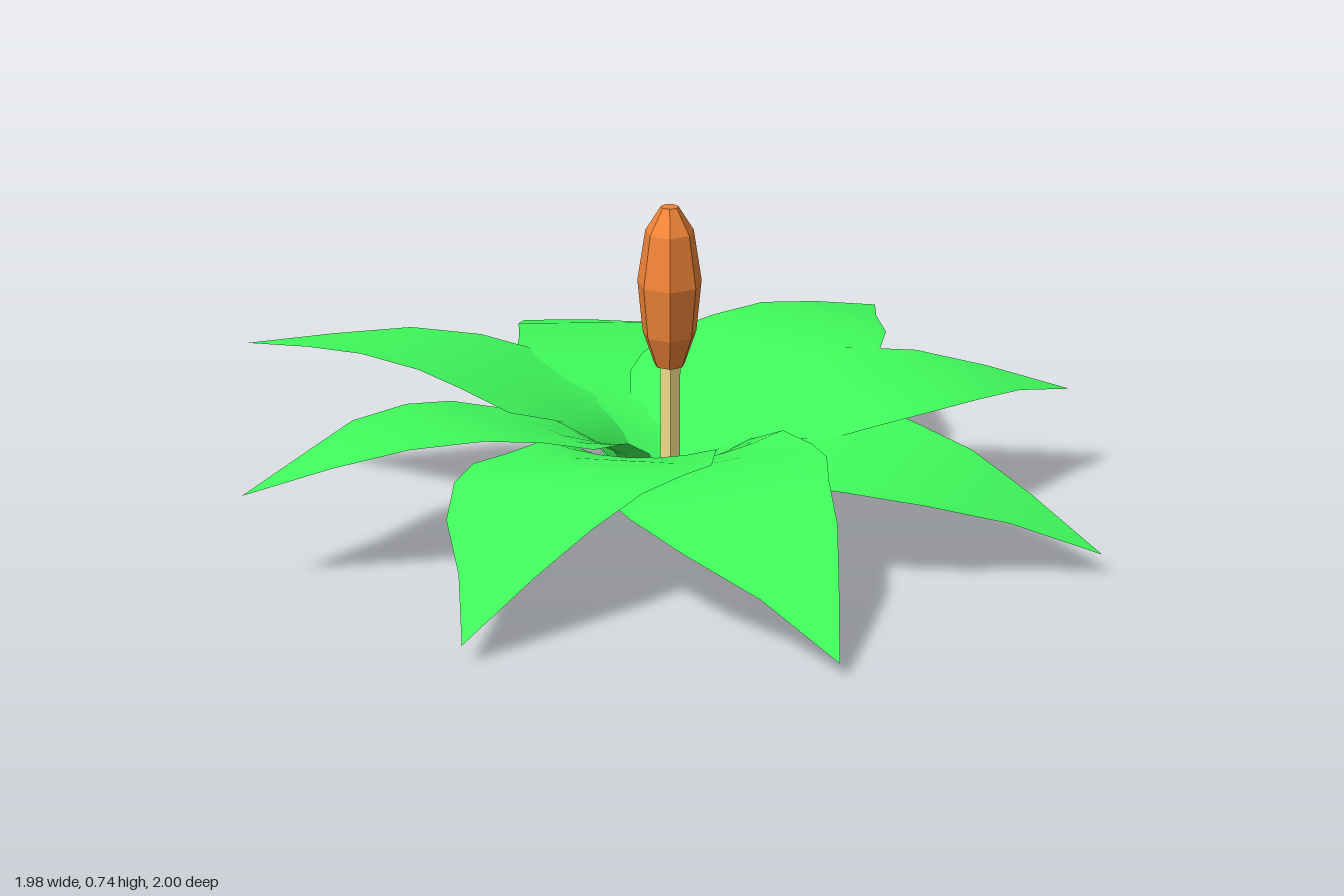
import * as THREE from 'three';

// Leaf stations: distance from centre, counter-clockwise half width, clockwise half width, height
const STATIONS = [
  [0.02, 0.03, 0.03, 0.0],
  [0.05, 0.1, 0.09, 0.08],
  [0.12, 0.165, 0.16, 0.165],
  [0.2, 0.215, 0.215, 0.205],
  [0.3, 0.245, 0.265, 0.23],
  [0.42, 0.23, 0.285, 0.24],
  [0.54, 0.185, 0.272, 0.23],
  [0.7, 0.138, 0.21, 0.193],
  [0.86, 0.075, 0.1, 0.127],
  [1.045, 0, 0, 0.035],
];
const REACH = 1.045, TIP_Y = 0.035, ROLL = 0.08, ACROSS = 6;

// Tip of each leaf: x, y, z
const TIPS = [
  [-0.34, 0.21, -1.0], [0.55, 0.28, -0.9], [0.985, 0.21, -0.365], [0.965, 0.05, 0.39],
  [0.35, 0.03, 0.995], [-0.42, 0.04, 0.915], [-0.92, 0.21, 0.45], [-0.99, 0.355, -0.27],
];

// Lofts one leaf from the shared outline, raised towards its own tip
function leafGeometry([tx, ty, tz]) {
  const length = Math.hypot(tx, tz), dx = tx / length, dz = tz / length;
  const positions = [], index = [];
  STATIONS.forEach(([along, ccw, cw, height], i) => {
    const r = along * length / REACH;
    const root = Math.max(0, 1 - along / 0.3); // strength of the cupped, set-back root
    const lift = (ty - TIP_Y) * (along / REACH) ** 1.35;
    for (let j = 0; j <= ACROSS; j++) {
      const s = THREE.MathUtils.lerp(-ccw, cw, j / ACROSS);
      const y = height + lift - ROLL * s + 2 * root * s * s;
      positions.push(dx * r - dz * s, Math.max(0, y), dz * r + dx * s - 0.025 * root);
      if (i < STATIONS.length - 1 && j < ACROSS) {
        const a = i * (ACROSS + 1) + j, c = a + ACROSS + 1;
        index.push(a, a + 1, c, a + 1, c + 1, c);
      }
    }
  });
  const geometry = new THREE.BufferGeometry();
  geometry.setAttribute('position', new THREE.Float32BufferAttribute(positions, 3));
  geometry.setIndex(index);
  geometry.computeVertexNormals();
  return geometry;
}

export function createModel() {
  const group = new THREE.Group();
  const leafMaterial = new THREE.MeshStandardMaterial({ color: 0x40fc5c, side: THREE.DoubleSide });
  const stemMaterial = new THREE.MeshStandardMaterial({ color: 0xf0dc8c, flatShading: true });
  const budMaterial = new THREE.MeshStandardMaterial({ color: 0xf08438, flatShading: true });

  // Rosette of leaves
  const leaves = new THREE.Group();
  leaves.name = 'leaves';
  TIPS.forEach((tip, i) => {
    const leaf = new THREE.Mesh(leafGeometry(tip), leafMaterial);
    leaf.name = `leaf${i + 1}`;
    leaves.add(leaf);
  });
  group.add(leaves);

  // Stem
  const stem = new THREE.Mesh(new THREE.CylinderGeometry(0.024, 0.024, 0.3, 5), stemMaterial);
  stem.name = 'stem';
  stem.position.set(0.015, 0.22, -0.05);
  group.add(stem);

  // Faceted flower bud, deeper than it is wide
  const profile = [[0, 0.36], [0.48, 0.365], [0.84, 0.44], [1, 0.56], [0.75, 0.68], [0.27, 0.738], [0, 0.738]];
  const bud = new THREE.Mesh(
    new THREE.LatheGeometry(profile.map(([r, y]) => new THREE.Vector2(r, y)), 7), budMaterial);
  bud.name = 'flowerBud';
  bud.scale.set(0.076, 1, 0.103);
  bud.position.set(0.013, 0, -0.046);
  group.add(bud);

  return group;
}
